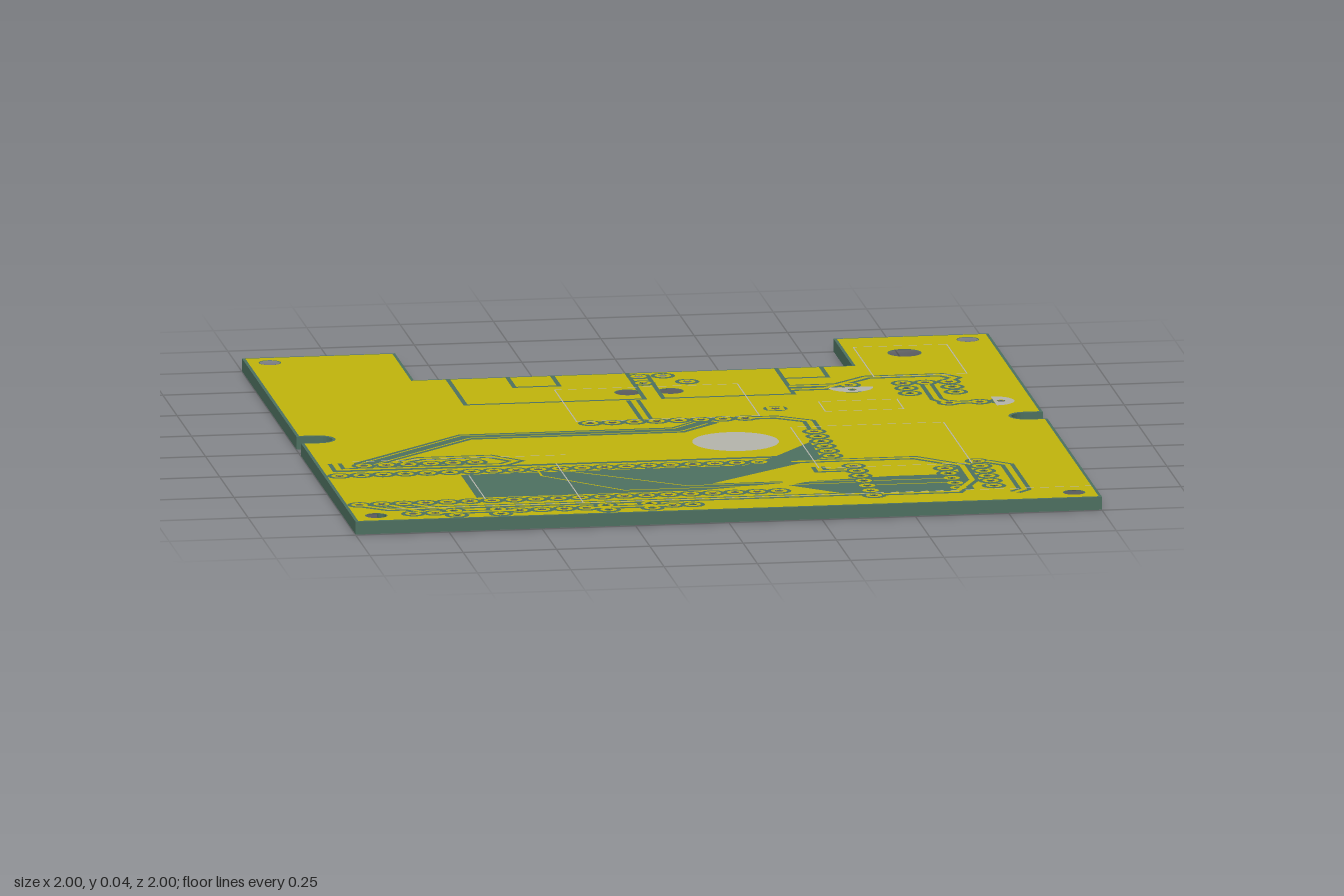
import * as THREE from 'three';
import { mergeGeometries } from 'three/addons/utils/BufferGeometryUtils.js';

const mat = (color) => new THREE.MeshStandardMaterial({ color });
const GREEN = mat(0x4d7060), COPPER = mat(0xc0b40c), INK = mat(0xb4b4ac);

// Plan coordinates are [x, z] in hundredths of a unit.
const circle = (x, z, r, n = 12, a0 = 0, sweep = Math.PI * 2) => {
  const pts = [];
  const last = sweep < 6 ? n : n - 1;
  for (let i = 0; i <= last; i++) {
    const t = a0 + (i / n) * sweep;
    pts.push([x + r * Math.cos(t), z + r * Math.sin(t)]);
  }
  return pts;
};
const row = (x, z, dx, dz, n) => Array.from({ length: n }, (_, i) => [x + dx * i, z + dz * i]);

// Plated pin holes
const pins = [
  ...row(-96, 45, 5.92, 0, 20), ...row(-96, 80.3, 5.92, 0, 20),
  ...row(-20.7, -8, 5.94, 0, 8), ...row(-87.7, 33.7, 5.98, 0, 6),
  ...row(36.5, 10.7, 0, 5.96, 6), ...row(40.5, 53.5, 0, 6, 7),
  ...row(64, 60, 0, 5.9, 5), ...row(73.7, 52.5, 0, 6, 6),
  ...row(-83.5, 93, 5.9, 0, 2), ...row(-55, 93, 6, 0, 4), ...row(-14, 93, 5.4, 0, 2),
  ...row(-72.3, 91, 0, 5.4, 2), ...row(-60.5, 91, 0, 5.4, 2),
  ...row(-31.6, 90.5, 0, 5.4, 2), ...row(-19.8, 90, 0, 5.4, 2),
  ...row(68.5, -43.5, 0, 6.2, 3), ...row(80.8, -43.5, 0, 6.2, 3),
  [74.5, -43.5], [54, -43.5], [54, -37.5],
  [0.5, -62], [7, -62], [0.5, -54], [12.3, -54], [30.5, -18.3],
  [77, -18.3], [85.2, -18.3], [91, -18.3],
];
const PIN_R = 1.2;
// Mounting and cable holes: x, z, radius
const mounts = [
  [-93.5, -93.5, 2.7], [93.5, -93.5, 2.7], [-93.5, 93.5, 2.7], [93.5, 93.5, 2.7],
  [74.5, -80, 4.3], [-5.3, -43.7, 3.2], [6.3, -43.7, 3.2],
];

// Board edge, inset by d
function outline(d) {
  const e = 100 - d, r = 4 + d, h = Math.PI / 2;
  return [
    [-e, -e], [-59 - d, -e], [-59 - d, -67 + d], [58.5 + d, -67 + d], [58.5 + d, -e], [e, -e],
    [e, -r], ...circle(95, 0, r, 12, -h, -Math.PI), [e, r],
    [e, e], [-e, e],
    [-e, r], ...circle(-95, 0, r, 12, h, -Math.PI), [-e, -r],
  ];
}

const toShape = (pts, side, Type = THREE.Shape) =>
  new Type(pts.map(([x, z]) => new THREE.Vector2(x / 100, (-side * z) / 100)));

function inside([x, z], poly) {
  let hit = false;
  for (let i = 0, j = poly.length - 1; i < poly.length; j = i++) {
    const [xi, zi] = poly[i], [xj, zj] = poly[j];
    if (zi > z !== zj > z && x < ((xj - xi) * (z - zi)) / (zj - zi) + xi) hit = !hit;
  }
  return hit;
}

// Shape with every drill hole that lies wholly within it
function drilled(pts, side, grow = 0) {
  const shape = toShape(pts, side);
  const holes = [
    ...pins.map(([x, z]) => circle(x, z, PIN_R, 10)),
    ...mounts.map(([x, z, r]) => circle(x, z, r + grow, 24)),
  ];
  for (const h of holes)
    if (h.every((p) => inside(p, pts))) shape.holes.push(toShape(h, side, THREE.Path));
  return shape;
}

// Constant-width strip along a path, mitred at the corners
function strip(path, w) {
  const left = [], right = [];
  path.forEach((p, i) => {
    const a = path[Math.max(i - 1, 0)], b = path[Math.min(i + 1, path.length - 1)];
    const dir = (s, t) => new THREE.Vector2(t[0] - s[0], t[1] - s[1]).normalize();
    const d0 = i ? dir(a, p) : dir(p, b), d1 = i < path.length - 1 ? dir(p, b) : d0;
    const n = new THREE.Vector2(-d0.y - d1.y, d0.x + d1.x).normalize();
    const k = w / 2 / Math.max(0.4, n.x * -d0.y + n.y * d0.x);
    left.push([p[0] + n.x * k, p[1] + n.y * k]);
    right.unshift([p[0] - n.x * k, p[1] - n.y * k]);
  });
  return [...left, ...right];
}

// Flat layer of polygons facing up (side 1) or down (side -1)
function layer(name, polys, y, side, material, grow = 0) {
  const parts = polys.map((p) => new THREE.ShapeGeometry(drilled(p, side, grow)));
  const geo = mergeGeometries(parts).rotateX((-side * Math.PI) / 2).translate(0, y, 0);
  const mesh = new THREE.Mesh(geo, material);
  mesh.name = name;
  return mesh;
}

const rect = (x0, z0, x1, z1) => [[x0, z0], [x1, z0], [x1, z1], [x0, z1], [x0, z0]];

// Cuts in the copper around the module bay
const bayCuts = [
  [[-50, -66.5], [-50, -35], [-2, -35], [-2, -66.5]],
  [[3, -64], [3, -35], [38, -35], [38, -66.5]],
  [[-34, -66.5], [-34, -54], [-22, -54], [-22, -66.5]],
  [[38, -54], [50, -54], [50, -66.5]],
];
// Tracks on top: copper core with a bare gap on both sides
const topTracks = [
  [[-5.3, -34], [-5.3, -10]],
  [[38, -44], [51, -44]], [[38, -40.5], [47, -40.5], [60, -52], [80, -52], [83, -48], [81, -45]],
  [[74.5, -41], [74.5, -23], [76, -20]], [[79, -18.3], [83, -18.3]],
  [[23, -8], [29, -8], [37, -2], [37, 8]],
  [[-95, 30], [-95, 38], [-51, 38], [-47, 34], [-53, 27.5], [-72, 27.5], [-77, 31]],
  [[25, 46], [58, 46], [69, 57], [69, 75], [63, 88], [43, 88]],
  [[76, 53], [81, 58], [81, 88], [78, 91]],
  [[38, 58], [31, 58], [31, 53]],
  [[-95, 82], [-89, 87], [38, 87]], [[-88, 82], [-81, 91]], [[-82, 82], [-74, 89]],
  [[-76, 93], [-57, 93]], [[-35, 93], [-16, 93]],
];
const bottomTracks = [
  [[-21, -10], [-69, -13], [-95, 9], [-96, 43]],
  [[30, 35], [13, 48], [-42, 48], [-79, 78]],
  [[39, 5], [39, 52]], [[18, 82], [40, 90], [68, 90], [73, 84]],
  [[85, -20], [60, -12], [56, -35]], [[-88, 82], [-80, 87], [10, 87]],
  [[-76, 93], [-20, 93]], [[68, -42], [68, -33]], [[80, -42], [80, -33]],
  [[64, 62], [55, 68], [42, 68]],
];
// Bare areas without copper, and the fine tracks crossing them
const bareAreas = [
  [[-64, 48.5], [12, 48.5], [21, 40], [33.5, 23], [33.5, 43], [0, 69], [19, 69], [19, 71], [-4, 76.5], [-64, 76.5]],
  [[20, 74], [26, 70], [48, 67], [68, 67], [68, 86], [33, 86]],
  strip([[-88, 33], [-56, 3.5], [1, 3.5], [11, -6]], 6.5),
  strip([[-96, 39.5], [22, 39.5]], 1.8),
];
const fineTracks = [
  [[-43, 47], [-43, 53], [-24, 73.5], [38, 73.5]],
  [[-37, 47], [-7, 70.5], [38, 70.5]],
  [[-85, 33], [-55, 5], [2, 5], [10, -3]], [[-88, 31], [-57, 2], [0, 2], [7, -5]],
  [[43, 72], [62, 72]], [[43, 77], [62, 77]],
];
// Printed component outlines
const printed = [
  rect(43, -24.5, 64, -12.5), rect(62, -88, 87, -52), rect(31, 5, 72, 55), rect(-24, -49, 25, -10),
  [[-90, 29], [-33, 29]], [[-62, 50], [-62, 79]], [[-37, 39], [-37, 86]], [[-90, 87], [99, 87]],
];

export function createModel() {
  const model = new THREE.Group();
  model.name = 'circuitBoard';

  // Drilled core
  const core = new THREE.ExtrudeGeometry(drilled(outline(0), 1), { depth: 0.0345, bevelEnabled: false });
  const board = new THREE.Mesh(core.rotateX(-Math.PI / 2).translate(0, 0.0015, 0), GREEN);
  board.name = 'boardCore';
  model.add(board);

  // Copper, gaps, tracks and pads on both faces
  const gapRings = pins.map(([x, z]) => circle(x, z, 3.3, 14));
  const padRings = pins.map(([x, z], i) =>
    i === pins.length - 4 ? rect(x - 2.3, z - 2.3, x + 2.3, z + 2.3).slice(0, 4) : circle(x, z, 2.2, 14));
  for (const side of [1, -1]) {
    const face = side > 0 ? 'top' : 'bottom';
    const y = (k) => (side > 0 ? 0.036 + k * 0.0005 : 0.0015 - k * 0.0005);
    const tracks = side > 0 ? topTracks : bottomTracks;
    const gaps = [...bayCuts.map((p) => strip(p, 1.2)), ...tracks.map((p) => strip(p, 3.8))];
    const cores = tracks.map((p) => strip(p, 1.5));
    if (side > 0) {
      gaps.push(...bareAreas);
      cores.push(...fineTracks.map((p) => strip(p, 0.6)));
    }
    model.add(
      layer(face + 'Copper', [outline(0.8)], y(1), side, COPPER, 0.3),
      layer(face + 'Gaps', [...gaps, ...gapRings], y(2), side, GREEN),
      layer(face + 'TracksAndPads', [...cores, ...padRings], y(3), side, COPPER),
    );
  }

  // Printed markings: outlines, a plain disc and two half discs
  const marks = [
    ...printed.map((p) => strip(p, 0.35)),
    circle(14, 20, 11.5, 40),
    circle(54, -40.5, 6, 16, Math.PI, -Math.PI),
    circle(89, -18.3, 5.5, 16, -Math.PI / 2, Math.PI),
  ];
  model.add(layer('printedMarkings', marks, 0.038, 1, INK));
  return model;
}
